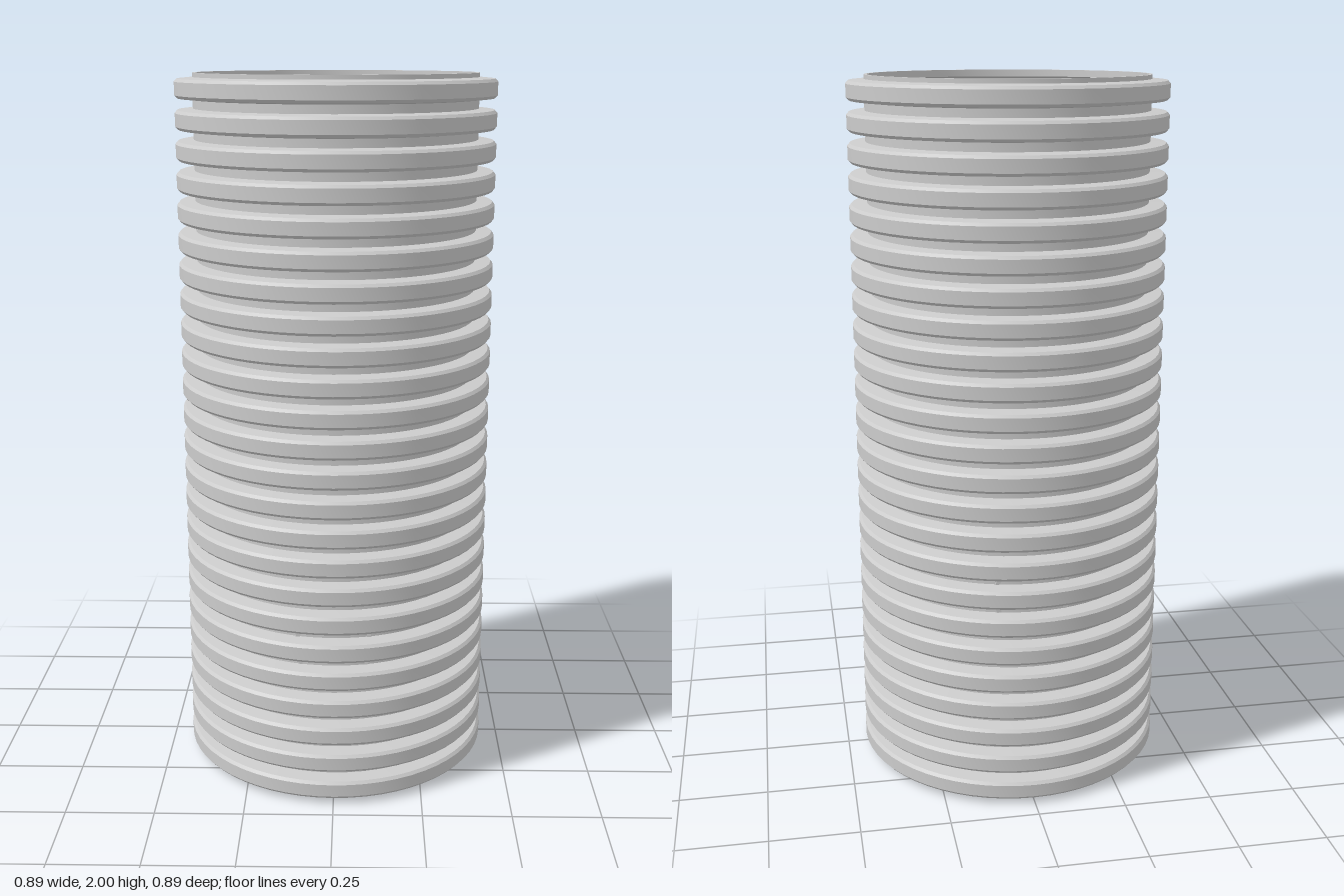
import * as THREE from 'three';
import { toCreasedNormals } from 'three/addons/utils/BufferGeometryUtils.js';

const material = new THREE.MeshStandardMaterial({ color: 0xcccccc, side: THREE.DoubleSide });

function lathe(name, profile, segments = 48) {
  const points = profile.map(([r, y]) => new THREE.Vector2(r, y));
  const mesh = new THREE.Mesh(toCreasedNormals(new THREE.LatheGeometry(points, segments), 0.5), material);
  mesh.name = name;
  return mesh;
}

// Hollow-ribbed shaft wall: outside going up, inside coming back down
function shaft() {
  const ribs = 24, pitch = 2 / ribs;
  const outer = [[0.386, 0], [0.395, 0]], inner = [];
  for (let i = 0; i < ribs; i++) {
    const c = (i + 0.5) * pitch;
    outer.push([0.395, c - 0.03], [0.438, c - 0.026], [0.445, c - 0.018],
      [0.445, c + 0.018], [0.438, c + 0.026], [0.395, c + 0.03]);
    inner.push([0.386, c - 0.022], [0.428, c - 0.016], [0.428, c + 0.016], [0.386, c + 0.022]);
  }
  outer.push([0.395, 2], [0.386, 2]);
  return lathe('corrugatedShaft', [...outer, ...inner.reverse(), [0.386, 0]], 60);
}

// Pipe socket pointing outward at the given heading (0 = front)
function socket(name, heading, y, r) {
  const mesh = lathe(name, [[r - 0.012, 0.27], [r - 0.012, 0.315], [r, 0.32], [r, 0.345],
    [r - 0.006, 0.35], [r - 0.006, 0.365], [r, 0.37], [r, 0.385], [r - 0.012, 0.385], [r - 0.02, 0.27]], 32);
  mesh.rotation.x = Math.PI / 2;
  const pivot = new THREE.Group();
  pivot.name = name + 'Pivot';
  pivot.add(mesh);
  pivot.position.y = y;
  pivot.rotation.y = heading;
  return pivot;
}

const inlets = [
  { name: 'leftInlet', heading: Math.PI / 2, r: 0.11 },
  { name: 'rightInlet', heading: -Math.PI / 2, r: 0.11 },
  { name: 'backInlet', heading: Math.PI, r: 0.11 },
  { name: 'backLeftInlet', heading: Math.PI * 0.75, r: 0.085 },
  { name: 'backRightInlet', heading: -Math.PI * 0.75, r: 0.085 },
];
const OUTLET_Y = 0.46, INLET_Y = 0.62;

// Sloping floor with half-round channels sweeping from each inlet to the outlet
function channelFloor() {
  const samples = [];
  for (const { heading, r } of inlets) {
    const start = new THREE.Vector3(Math.sin(heading) * 0.31, INLET_Y, Math.cos(heading) * 0.31);
    const curve = new THREE.QuadraticBezierCurve3(start,
      new THREE.Vector3(0, 0.53, 0), new THREE.Vector3(0, OUTLET_Y, 0.31));
    for (const p of curve.getPoints(40)) samples.push({ p, r: r - 0.02 });
  }
  const geometry = new THREE.RingGeometry(0.001, 0.305, 72, 30).rotateX(-Math.PI / 2);
  const pos = geometry.attributes.position;
  for (let i = 0; i < pos.count; i++) {
    const x = pos.getX(i), z = pos.getZ(i);
    let y = 0.66;
    for (const { p, r } of samples) {
      const d = Math.hypot(x - p.x, z - p.z);
      if (d < r) y = Math.min(y, p.y - Math.sqrt(r * r - d * d));
    }
    pos.setY(i, y);
  }
  geometry.computeVertexNormals();
  const mesh = new THREE.Mesh(geometry, material);
  mesh.name = 'channelFloor';
  return mesh;
}

// Horizontal valve: smooth barrel at the back, tapering bellows at the front
function valve() {
  const profile = [[0.165, -0.22], [0.178, -0.22], [0.178, -0.1], [0.17, -0.065],
    [0.176, -0.03], [0.176, 0.005], [0.165, 0.012]];
  for (let i = 0; i < 6; i++) {
    const z = 0.022 + i * 0.034, r = 0.169 - i * 0.0026;
    profile.push([r - 0.013, z], [r - 0.002, z + 0.001], [r, z + 0.005],
      [r, z + 0.016], [r - 0.002, z + 0.02], [r - 0.013, z + 0.021]);
  }
  profile.push([0.13, 0.215], [0.165, -0.22]);
  const mesh = lathe('backflowValve', profile);
  mesh.rotation.x = Math.PI / 2;
  mesh.position.y = INLET_Y;
  return mesh;
}

export function createModel() {
  const model = new THREE.Group();
  model.name = 'inspectionShaft';
  model.add(shaft());

  const chamber = new THREE.Group();
  chamber.name = 'chamber';
  chamber.add(lathe('chamberBowl', [[0, 0.345], [0.27, 0.345], [0.3, 0.36], [0.305, 0.4],
    [0.305, 0.76], [0.311, 0.76], [0.311, 0.78], [0.302, 0.78], [0.302, 0.62]]));
  chamber.add(channelFloor(), valve(), socket('frontOutlet', 0, OUTLET_Y, 0.11));
  for (const { name, heading, r } of inlets) chamber.add(socket(name, heading, INLET_Y, r));
  model.add(chamber);
  return model;
}
